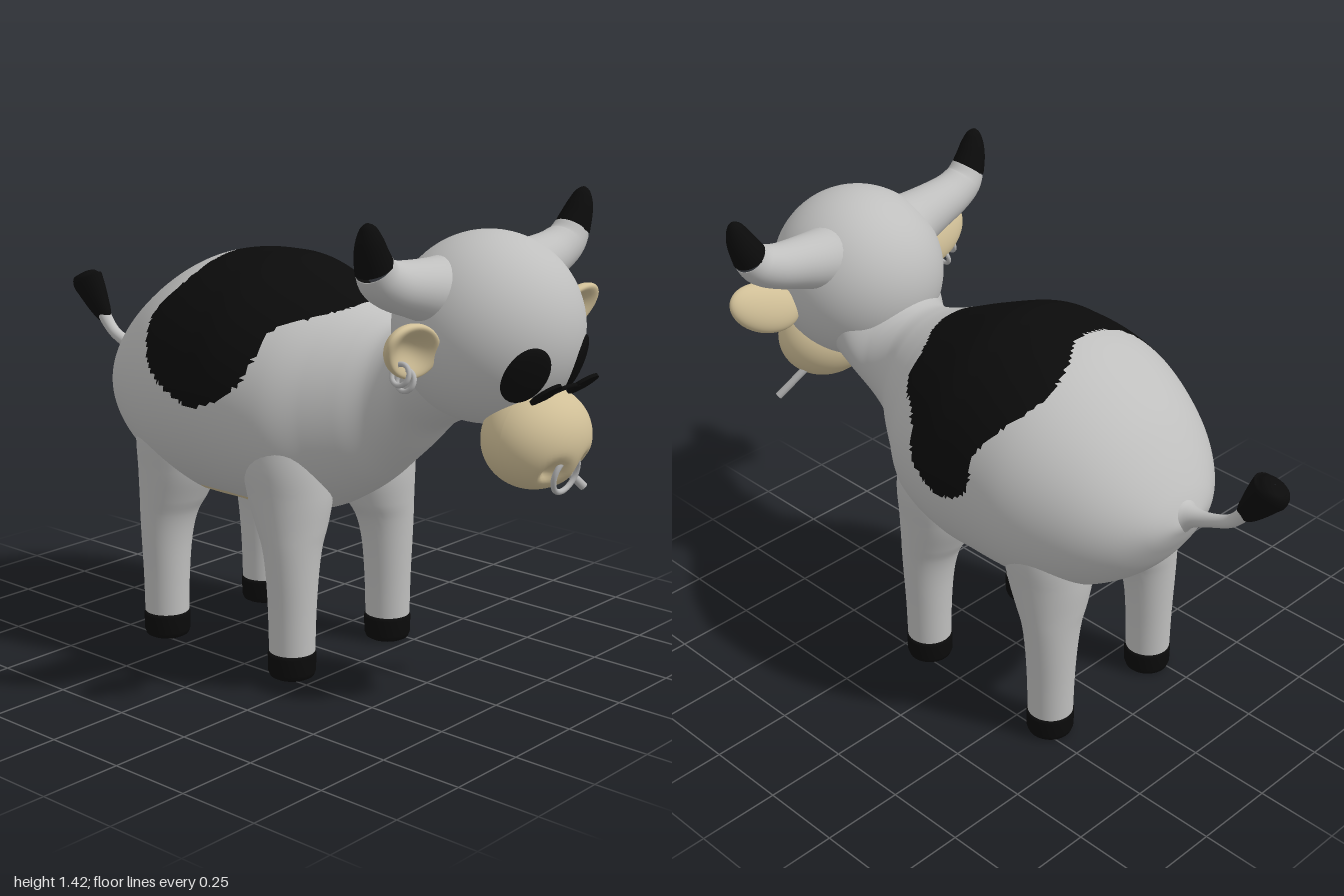
import * as THREE from 'three';
import { ParametricGeometry } from 'three/addons/geometries/ParametricGeometry.js';

const paint = (name, color) => Object.assign(new THREE.MeshStandardMaterial({ color }), { name });

// Smooth interpolation through rows of numbers, t from 0 to 1
function spline(rows) {
  const cols = rows[0].map((_, k) =>
    new THREE.SplineCurve(rows.map((r, i) => new THREE.Vector2(i, r[k]))));
  return t => cols.map(c => c.getPoint(t).y);
}

// Round limb through stations [x, y, z, radius]; axis is the normal of the plane it bends in
function limb(stations, axis, flat = 1, stacks = 24) {
  const at = spline(stations);
  const T = new THREE.Vector3(), N = new THREE.Vector3();
  return new ParametricGeometry((u, v, p) => {
    const [x, y, z, r] = at(v);
    const a = at(Math.max(0, v - 0.01)), b = at(Math.min(1, v + 0.01));
    T.set(b[0] - a[0], b[1] - a[1], b[2] - a[2]);
    N.crossVectors(axis, T).normalize();
    const f = u * Math.PI * 2;
    p.set(x, y, z).addScaledVector(N, r * Math.cos(f)).addScaledVector(axis, r * flat * Math.sin(f));
  }, 32, stacks);
}

// Even-odd test of a point against a closed outline
function inside(x, y, poly) {
  let hit = false;
  for (let i = 0, j = poly.length - 1; i < poly.length; j = i++) {
    const a = poly[i], b = poly[j];
    if (a.y > y !== b.y > y && x < ((b.x - a.x) * (y - a.y)) / (b.y - a.y) + a.x) hit = !hit;
  }
  return hit;
}

// Body sections from neck to rump: z, top, bottom, half width
const bodyRows = [
  [0.64, 1.25, 0.83, 0.2], [0.54, 1.17, 0.775, 0.2], [0.47, 1.09, 0.7, 0.172], [0.4, 1.063, 0.635, 0.18],
  [0.33, 1.075, 0.575, 0.23], [0.25, 1.105, 0.52, 0.285], [0.15, 1.15, 0.47, 0.352], [0, 1.21, 0.45, 0.395],
  [-0.1, 1.218, 0.45, 0.4], [-0.2, 1.21, 0.45, 0.398], [-0.3, 1.183, 0.455, 0.385], [-0.4, 1.13, 0.485, 0.35],
  [-0.5, 1.053, 0.54, 0.295], [-0.58, 0.965, 0.61, 0.225], [-0.64, 0.88, 0.7, 0.14],
  [-0.67, 0.82, 0.76, 0.06], [-0.68, 0.792, 0.788, 0.003],
];
// Saddle patch outline: angle round the body from the spine, z
const patchRows = [
  [-1.65, -0.08], [-1.55, 0.02], [-1.35, 0.09], [-1.1, 0.12], [-0.85, 0.13], [-0.6, 0.2], [-0.3, 0.25],
  [0, 0.26], [0.35, 0.245], [0.65, 0.19], [0.9, 0.18], [1.1, 0.1], [1.25, 0.06], [1.45, 0.045], [1.57, 0],
  [1.67, -0.08], [1.57, -0.17], [1.43, -0.2], [1.2, -0.2], [0.95, -0.25], [0.6, -0.31], [0.3, -0.3],
  [0, -0.24], [-0.3, -0.235], [-0.6, -0.25], [-0.9, -0.31], [-1.2, -0.28], [-1.45, -0.22], [-1.65, -0.08],
];

// Body skin with three material groups: hide, saddle patch, belly
function bodyGeometry() {
  const at = spline(bodyRows);
  const geo = new ParametricGeometry((u, v, p) => {
    const [z, top, bottom, w] = at(v);
    const a = (u - 0.5) * Math.PI * 2;
    p.set(w * Math.sin(a), (top + bottom) / 2 + ((top - bottom) / 2) * Math.cos(a), z);
  }, 150, 150);
  const patch = new THREE.SplineCurve(patchRows.map(r => new THREE.Vector2(...r))).getPoints(120);
  const { uv, position } = geo.attributes, src = geo.index.array, sets = [[], [], []];
  for (let i = 0; i < src.length; i += 3) {
    const tri = [src[i], src[i + 1], src[i + 2]];
    const a = (tri.reduce((s, k) => s + uv.getX(k), 0) / 3 - 0.5) * Math.PI * 2;
    const z = tri.reduce((s, k) => s + position.getZ(k), 0) / 3;
    const belly = ((Math.PI - Math.abs(a)) / 0.6) ** 4 + ((z + 0.1) / 0.17) ** 4 < 1;
    sets[belly ? 2 : inside(a, z, patch) ? 1 : 0].push(...tri);
  }
  geo.setIndex(sets.flat());
  let start = 0;
  sets.forEach((s, m) => { geo.addGroup(start, s.length, m); start += s.length; });
  return geo;
}

// Front left leg: y, inner x, outer x, back z, front z
const legRows = [
  [0.07, 0.152, 0.288, 0.098, 0.235], [0.2, 0.147, 0.291, 0.095, 0.237], [0.32, 0.135, 0.298, 0.088, 0.241],
  [0.4, 0.117, 0.304, 0.073, 0.245], [0.46, 0.088, 0.31, 0.045, 0.25], [0.55, 0.06, 0.32, 0.01, 0.255],
  [0.66, 0.06, 0.332, 0, 0.25], [0.8, 0.08, 0.32, 0.02, 0.23],
];
function legGeometry(sx, rear) {
  const at = spline(legRows);
  return new ParametricGeometry((u, v, p) => {
    const [y, x0, x1, z0, z1] = at(v);
    const a = u * Math.PI * 2, cz = (z0 + z1) / 2;
    p.set(sx * (x0 + x1) / 2 + ((x1 - x0) / 2) * Math.cos(a), y,
      (rear ? -0.195 - cz : cz) - ((z1 - z0) / 2) * Math.sin(a));
  }, 36, 32);
}

// Sphere reshaped by a rule on its unit vertices
function shaped(rule, w = 64, h = 48) {
  const geo = new THREE.SphereGeometry(1, w, h), pos = geo.attributes.position;
  const p = new THREE.Vector3();
  for (let i = 0; i < pos.count; i++) {
    rule(p.fromBufferAttribute(pos, i));
    pos.setXYZ(i, p.x, p.y, p.z);
  }
  geo.computeVertexNormals();
  return geo;
}

export function createModel() {
  const model = new THREE.Group();
  model.name = 'cow';
  const hide = paint('grey hide', 0xbfbfbe), black = paint('black', 0x0b0b0b);
  const tan = paint('tan skin', 0xd0bf97), silver = paint('silver', 0xb4b4b4);
  const X = new THREE.Vector3(1, 0, 0), Y = new THREE.Vector3(0, 1, 0), Z = new THREE.Vector3(0, 0, 1);
  const add = (name, geo, mat, x = 0, y = 0, z = 0) => {
    const mesh = new THREE.Mesh(geo, mat);
    mesh.name = name;
    mesh.position.set(x, y, z);
    model.add(mesh);
    return mesh;
  };

  add('body', bodyGeometry(), [hide, black, tan]);
  const headCentre = new THREE.Vector3(0, 1.09, 0.69);
  add('head', new THREE.SphereGeometry(0.265, 64, 48), hide, ...headCentre);

  // Muzzle with two pressed-in nostrils
  add('muzzle', shaped(p => {
    p.multiply(new THREE.Vector3(0.17, 0.142, 0.14));
    if (p.z > 0) {
      const d = Math.hypot(Math.abs(p.x) - 0.062, p.y + 0.07);
      p.z -= 0.04 * Math.exp(-((d / 0.028) ** 2));
    }
  }), tan, 0, 0.81, 0.86);

  // Legs and hooves
  const hoof = new THREE.LatheGeometry([[0.001, 0], [0.055, 0], [0.066, 0.006], [0.071, 0.02],
    [0.072, 0.07], [0.07, 0.08], [0.05, 0.081]].map(q => new THREE.Vector2(...q)), 36);
  for (const sx of [1, -1]) for (const rear of [false, true]) {
    add(rear ? 'rearLeg' : 'frontLeg', legGeometry(sx, rear), hide);
    add(rear ? 'rearHoof' : 'frontHoof', hoof, black, sx * 0.22, 0, rear ? -0.361 : 0.166);
  }

  // Tail and tuft
  add('tail', limb([[0, 0.805, -0.64, 0.07], [0, 0.815, -0.68, 0.034], [0, 0.832, -0.74, 0.021],
    [0, 0.868, -0.82, 0.019], [0, 0.93, -0.875, 0.022]], X), hide);
  add('tailTuft', limb([[0, 0.895, -0.85, 0.003], [0, 0.91, -0.86, 0.026], [0, 0.95, -0.89, 0.042],
    [0, 1.0, -0.925, 0.055], [0, 1.025, -0.943, 0.058], [0, 1.042, -0.95, 0.04],
    [0, 1.046, -0.952, 0.002]], X, 0.72), black);

  const earGeo = shaped(p => {
    const cup = p.z > 0 ? 0.035 * p.z * (1 - 1.6 * p.z * p.z) : 0.04 * p.z;
    p.set(p.x * 0.125, p.y * 0.076, cup);
  }, 48, 40);
  const eyeGeo = new THREE.SphereGeometry(1, 36, 24).scale(0.068, 0.084, 0.022);
  const lensGeo = new THREE.CylinderGeometry(0.047, 0.047, 0.009, 32);

  for (const s of [1, -1]) {
    // Horn and its dark tip
    add('horn', limb([[s * 0.1, 1.18, 0.645, 0.14], [s * 0.18, 1.205, 0.645, 0.097], [s * 0.26, 1.222, 0.645, 0.08],
      [s * 0.35, 1.242, 0.645, 0.068], [s * 0.41, 1.268, 0.648, 0.061], [s * 0.44, 1.303, 0.652, 0.053]], Z), hide);
    add('hornTip', limb([[s * 0.44, 1.302, 0.652, 0.0535], [s * 0.458, 1.34, 0.655, 0.046],
      [s * 0.47, 1.375, 0.659, 0.037], [s * 0.477, 1.405, 0.661, 0.024], [s * 0.479, 1.418, 0.662, 0.012],
      [s * 0.479, 1.423, 0.662, 0.001]], Z), black);

    add('ear', earGeo, tan, s * 0.355, 1.08, 0.712).rotation.set(0.35, 0, s * 0.42);

    // Eye lies against the head, its top leaning outwards
    const out = new THREE.Vector3(s * 0.12, -0.09, 0.218).normalize();
    const eye = add('eye', eyeGeo, black);
    eye.position.copy(headCentre).addScaledVector(out, 0.254);
    eye.quaternion.setFromUnitVectors(Z, out);
    eye.rotateZ(s * -0.35 + s * 0.6);

    // Small tilted lens
    add('lens', lensGeo, black, s * 0.085, 0.955, 0.945).rotation.x = Math.PI - 0.68;
  }

  // Bridge between the lenses
  const bridge = new THREE.QuadraticBezierCurve3(new THREE.Vector3(-0.06, 0.955, 0.948),
    new THREE.Vector3(0, 0.972, 0.965), new THREE.Vector3(0.06, 0.955, 0.948));
  add('lensBridge', new THREE.TubeGeometry(bridge, 16, 0.006, 10), black);

  // Nose ring, earrings and the stick in the mouth
  add('noseRing', new THREE.TorusGeometry(0.053, 0.008, 14, 48), silver, 0, 0.723, 0.958).rotation.x = 0.25;
  const earring = new THREE.TorusGeometry(0.028, 0.007, 12, 32);
  for (const [x, y, z] of [[-0.408, 1.028, 0.715], [-0.368, 1.003, 0.7]]) {
    add('earring', earring, silver, x, y, z).rotation.set(0, Math.PI / 2, 0.25, 'ZYX');
    model.children.at(-1).rotation.z = -0.3;
  }
  const from = new THREE.Vector3(0.1, 0.745, 0.825), to = new THREE.Vector3(0.195, 0.632, 0.888);
  const stick = add('mouthStick', new THREE.CylinderGeometry(0.012, 0.012, from.distanceTo(to), 20), silver);
  stick.position.copy(from).lerp(to, 0.5);
  stick.quaternion.setFromUnitVectors(Y, to.clone().sub(from).normalize());

  return model;
}
